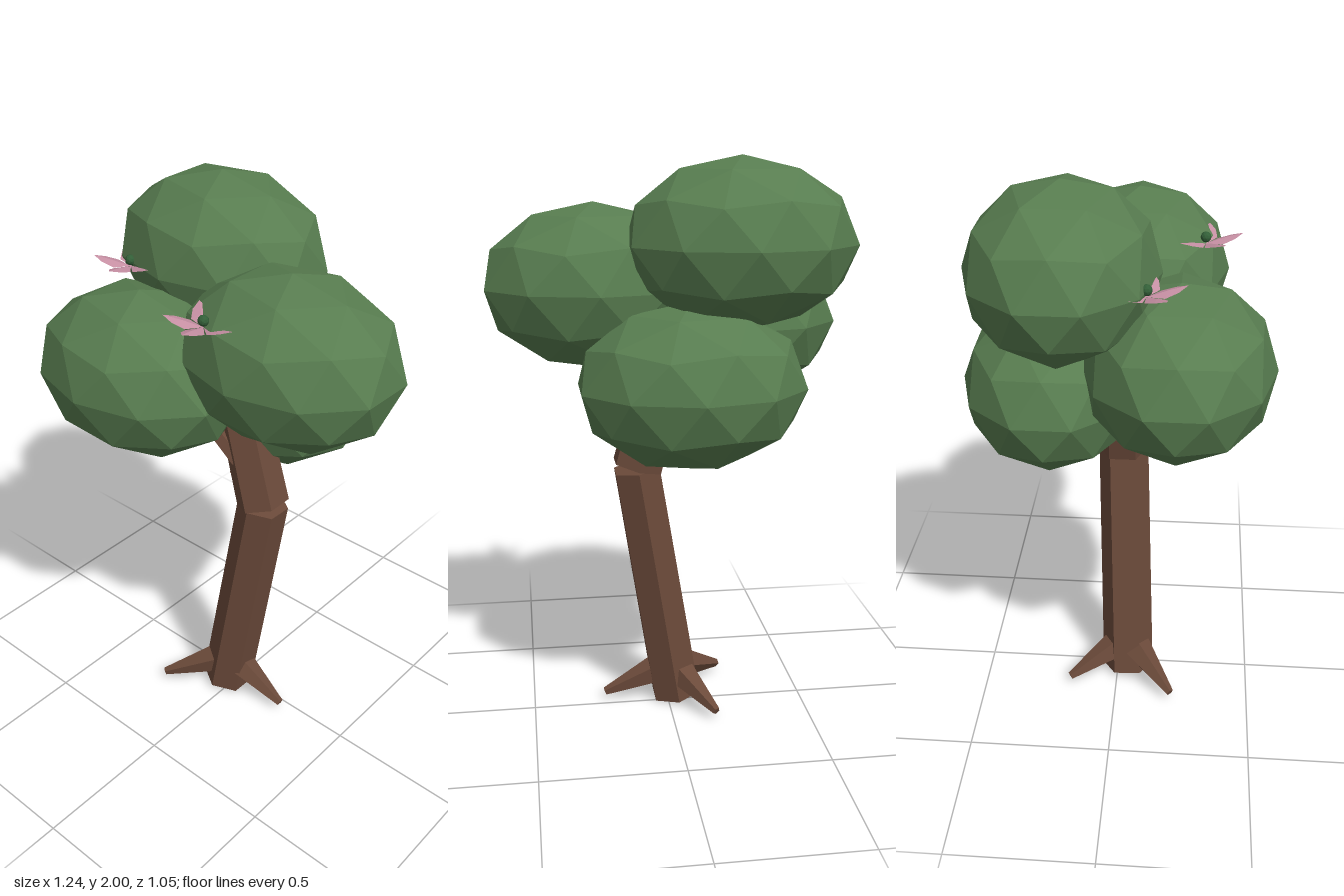
import * as THREE from 'three';

const V = (x, y, z) => new THREE.Vector3(x, y, z);

function material(name, color) {
  const m = new THREE.MeshStandardMaterial({ color, flatShading: true });
  m.name = name;
  return m;
}

export function createModel() {
  const bark = material('bark brown', 0x6b4a3a);
  const leaf = material('leaf green', 0x587d50);
  const pink = material('petal pink', 0xc68fa3);
  const bud = material('bud green', 0x335f38);
  pink.side = THREE.DoubleSide;

  const tree = new THREE.Group();
  tree.name = 'tree';

  function add(parent, name, geometry, mat) {
    const mesh = new THREE.Mesh(geometry, mat);
    mesh.name = name;
    parent.add(mesh);
    return mesh;
  }

  // Tapered faceted limb between two points
  function limb(name, from, to, r0, r1, sides) {
    const dir = to.clone().sub(from);
    const geo = new THREE.CylinderGeometry(r1, r0, dir.length(), sides).toNonIndexed();
    geo.computeVertexNormals();
    const mesh = add(tree, name, geo, bark);
    mesh.position.copy(from).add(to).multiplyScalar(0.5);
    mesh.quaternion.setFromUnitVectors(V(0, 1, 0), dir.normalize());
  }

  // Trunk in two bent sections
  limb('lowerTrunk', V(-0.035, 0.017, 0.04), V(0.112, 0.92, 0.01), 0.096, 0.09, 6);
  limb('upperTrunk', V(0.11, 0.925, 0.01), V(-0.01, 1.38, 0.015), 0.095, 0.085, 6);

  // Small branches reaching into the crown
  limb('branch', V(0.04, 1.1, 0.06), V(-0.12, 1.3, 0.12), 0.035, 0.025, 5);
  limb('branchStub', V(0.05, 0.99, 0.03), V(0.0, 1.03, 0.05), 0.03, 0.012, 5);

  // Roots
  const rootTips = [V(0.235, 0.03, 0.04), V(-0.22, 0.035, 0.21), V(-0.155, 0.035, -0.175)];
  for (const tip of rootTips) {
    const start = V(-0.02, 0.125, 0.04).lerp(V(tip.x, 0.125, tip.z), 0.1);
    limb('root', start, tip, 0.062, 0.015, 5);
  }

  // Crown: squashed icospheres with a vertex at the pole
  const ball = new THREE.IcosahedronGeometry(1, 1);
  ball.rotateZ(-Math.atan(2 / (1 + Math.sqrt(5))));
  const clumps = [
    [-0.22, 1.72, -0.16],
    [-0.25, 1.415, 0.21],
    [0.25, 1.565, 0.053],
    [-0.05, 1.26, -0.215],
  ];
  for (const [x, y, z] of clumps) {
    const geo = ball.clone().scale(0.39, 0.283, 0.312);
    geo.computeVertexNormals();
    add(tree, 'leafClump', geo, leaf).position.set(x, y, z);
  }

  // Five-petalled flower, each petal creased along its middle
  function petals() {
    const pos = [];
    const polar = (r, a, y) => [r * Math.cos(a), y, r * Math.sin(a)];
    for (let i = 0; i < 5; i++) {
      const a = (i * 2 * Math.PI) / 5 + 0.1;
      const base = [0, 0, 0];
      const mid = polar(0.065, a, 0.018);
      const tip = polar(0.125, a, 0.03);
      for (const s of [-1, 1]) {
        const side = polar(0.06, a + s * 0.58, 0.005);
        const shoulder = polar(0.095, a + s * 0.25, 0.018);
        const tris = [[base, mid, side], [mid, shoulder, side], [mid, tip, shoulder]];
        for (const [p, q, r] of tris) pos.push(...p, ...(s < 0 ? q : r), ...(s < 0 ? r : q));
      }
    }
    // Upward-facing winding on both halves
    const geo = new THREE.BufferGeometry();
    geo.setAttribute('position', new THREE.Float32BufferAttribute(pos, 3));
    geo.computeVertexNormals();
    return geo;
  }

  for (const [x, y, z] of [[0.095, 1.705, 0.28], [-0.39, 1.705, 0.11]]) {
    const flower = new THREE.Group();
    flower.name = 'flower';
    flower.position.set(x, y, z);
    add(flower, 'petals', petals(), pink);
    const heart = new THREE.IcosahedronGeometry(0.018, 1);
    heart.computeVertexNormals();
    add(flower, 'flowerCentre', heart, bud).position.y = 0.022;
    tree.add(flower);
  }

  return tree;
}
